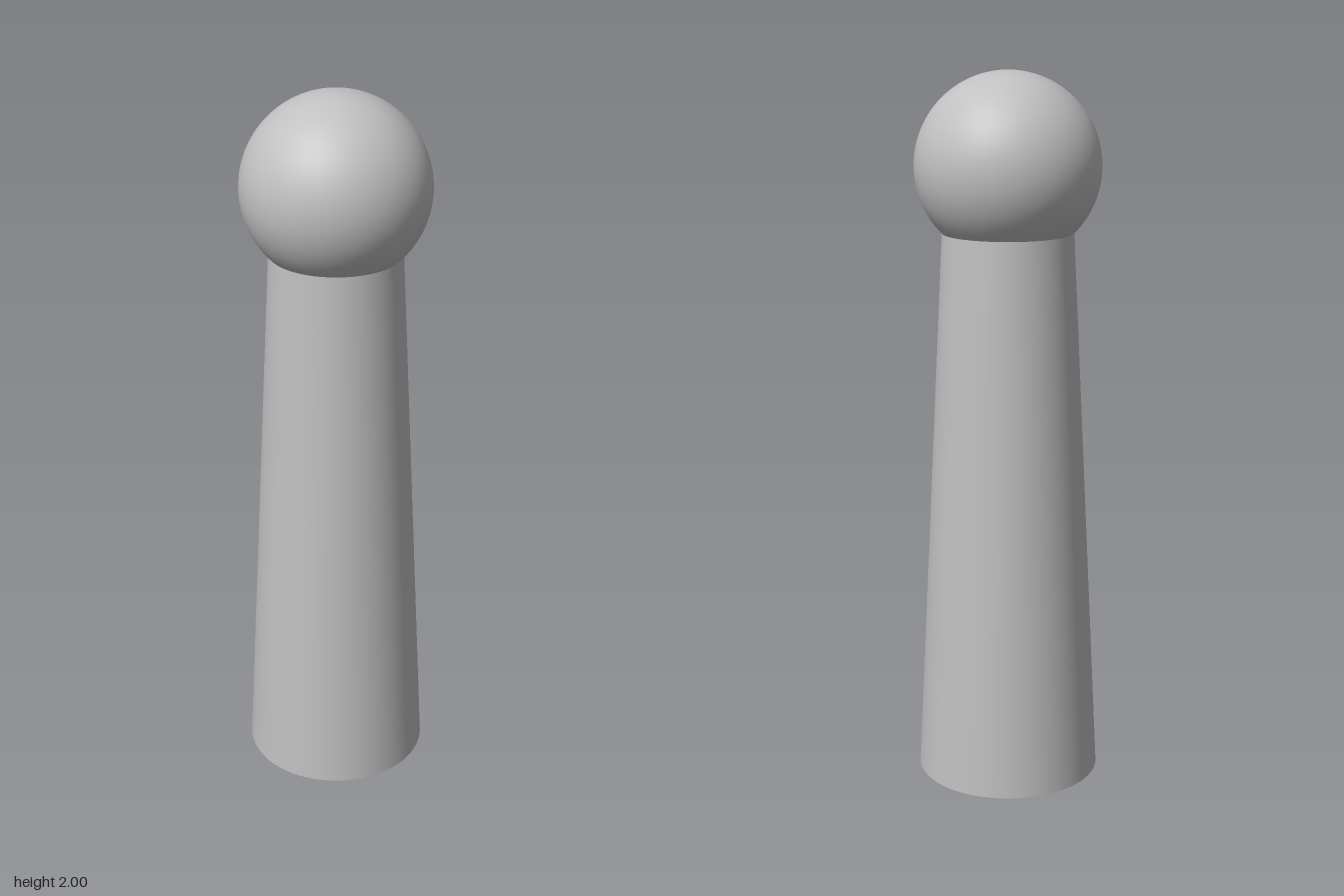
import * as THREE from 'three';
import { toCreasedNormals } from 'three/addons/utils/BufferGeometryUtils.js';

const BASE_R = 0.26, NECK_R = 0.181, NECK_Y = 1.565;
const BALL_R = 0.255, BALL_Y = 1.745;
const HOLE_R = 0.018, HOLE_OFFSET = 0.13, HOLE_DEPTH = 0.2;

export function createModel() {
  const group = new THREE.Group();
  const grey = new THREE.MeshStandardMaterial({ color: 0xc0c0c0 });
  grey.name = 'grey';

  const add = (name, geometry, x = 0, y = 0, z = 0) => {
    const mesh = new THREE.Mesh(geometry, grey);
    mesh.name = name;
    mesh.position.set(x, y, z);
    group.add(mesh);
  };

  // Tapered shaft, open at both ends
  add('shaft', new THREE.CylinderGeometry(NECK_R, BASE_R, NECK_Y, 96, 1, true), 0, NECK_Y / 2);

  // Ball, cut off where it meets the neck
  const cut = Math.acos((NECK_Y - BALL_Y) / BALL_R);
  add('ball', new THREE.SphereGeometry(BALL_R, 96, 56, 0, Math.PI * 2, 0, cut), 0, BALL_Y);

  // Underside pierced by four mounting holes
  const disc = new THREE.Shape().absarc(0, 0, BASE_R, 0, Math.PI * 2);
  const wall = toCreasedNormals(new THREE.LatheGeometry([
    new THREE.Vector2(0, HOLE_DEPTH),
    new THREE.Vector2(HOLE_R, HOLE_DEPTH),
    new THREE.Vector2(HOLE_R, 0),
  ], 24), 0.6);
  for (const sx of [-1, 1]) {
    for (const sz of [-1, 1]) {
      const x = sx * HOLE_OFFSET, z = sz * HOLE_OFFSET;
      disc.holes.push(new THREE.Path().absarc(x, z, HOLE_R, 0, Math.PI * 2, true));
      add('mountingHole', wall, x, 0, z);
    }
  }
  add('underside', new THREE.ShapeGeometry(disc, 48).rotateX(Math.PI / 2));

  return group;
}
